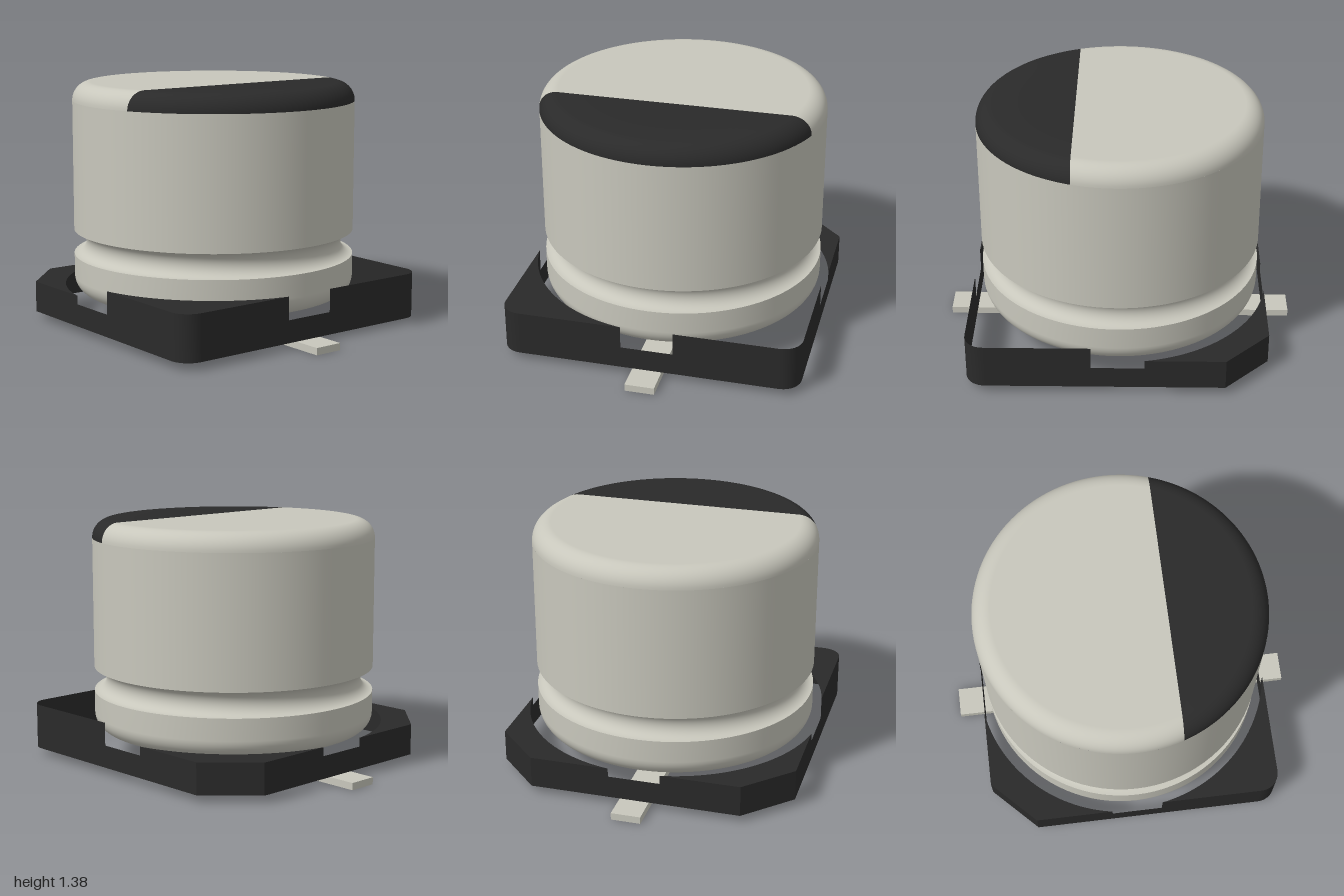
import * as THREE from 'three';

const H = 0.845;      // half width of the base
const N = 0.147;      // half width of the notches
const R = 0.805;      // can radius
const B = 0.105;      // can edge rounding
const TOP = 1.385;
const MARK_X = 0.245; // polarity mark begins here

const mat = (name, color, side = THREE.DoubleSide) => {
  const m = new THREE.MeshStandardMaterial({ color, side });
  m.name = name;
  return m;
};

// Surface from a grid of points: fn(i, j) returns [x, y, z]
function gridSurface(rows, cols, fn) {
  const pos = [], idx = [];
  for (let i = 0; i <= rows; i++) {
    for (let j = 0; j <= cols; j++) {
      pos.push(...fn(i, j));
      if (i < rows && j < cols) {
        const a = i * (cols + 1) + j, b = a + cols + 1;
        idx.push(a, a + 1, b, a + 1, b + 1, b);
      }
    }
  }
  const g = new THREE.BufferGeometry();
  g.setAttribute('position', new THREE.Float32BufferAttribute(pos, 3));
  g.setIndex(idx);
  g.computeVertexNormals();
  return g;
}

// Points of an arc as Vector2
function arc(cx, cy, r, a0, a1, n) {
  return Array.from({ length: n + 1 }, (_, i) => {
    const a = a0 + (a1 - a0) * i / n;
    return new THREE.Vector2(cx + r * Math.cos(a), cy + r * Math.sin(a));
  });
}

export function createModel() {
  const model = new THREE.Group();
  const metal = mat('metal', 0xc8c7bc);
  const black = mat('black', 0x2a2a2a);
  const add = (name, geometry, material, parent = model) => {
    const m = new THREE.Mesh(geometry, material);
    m.name = name;
    parent.add(m);
    return m;
  };
  const P = Math.PI;

  // Can: hollow shell, open below, with a crimped groove
  const can = new THREE.Group();
  can.name = 'can';
  model.add(can);
  const lathe = (name, pts) => add(name, new THREE.LatheGeometry(pts, 96), metal, can);
  lathe('canFoot', [...arc(R - B, 0.17 + B, B, -P / 2, 0, 10), new THREE.Vector2(R, 0.4)]);
  lathe('canGroove', arc(R, 0.47, 0.07, -P / 2, -1.5 * P, 20));
  lathe('canWall', [new THREE.Vector2(R, 0.54), new THREE.Vector2(R, TOP - B)]);

  // Can top: rings cut along the straight edge of the polarity mark
  const bevel = arc(R - B, TOP - B, B, P / 2, 0, 12);
  const markRings = [MARK_X, 0.3, 0.4, 0.55].map(r => new THREE.Vector2(r, TOP)).concat(bevel);
  const plainRings = [new THREE.Vector2(0, TOP), ...markRings];
  const cutAngle = r => (r > MARK_X ? Math.acos(MARK_X / r) : 0);
  const topPart = (rings, from, to, cols) => gridSurface(rings.length - 1, cols, (i, j) => {
    const { x: r, y } = rings[i];
    const a0 = from(cutAngle(r)), a1 = to(cutAngle(r));
    const a = a0 + (a1 - a0) * j / cols;
    return [r * Math.cos(a), y, -r * Math.sin(a)];
  }).scale(1, 1, 1);
  const flip = g => {
    const ix = g.index.array;
    for (let k = 0; k < ix.length; k += 3) [ix[k], ix[k + 1]] = [ix[k + 1], ix[k]];
    g.computeVertexNormals();
    return g;
  };
  add('canTop', flip(topPart(plainRings, c => c, c => 2 * P - c, 72)), metal, can);
  add('polarityMark', flip(topPart(markRings, c => -c, c => c, 48)), black, can);

  // Base: thin outer wall with notches, lower on the chamfered side
  const base = new THREE.Group();
  base.name = 'base';
  model.add(base);
  const LOW = 0.22, HIGH = 0.3, NOTCH = 0.17, BOTTOM = 0.043, C = 0.595, F = 0.11;
  const round = arc(H - F, H - F, F, 0, P / 2, 10);
  const wall = (name, pts, top) => add(name, gridSurface(1, pts.length - 1,
    (i, j) => [pts[j].x, i ? BOTTOM : top, pts[j].y]), black, base);
  const v = (x, z) => new THREE.Vector2(x, z);

  for (const s of [1, -1]) {
    const side = s > 0 ? 'Front' : 'Back';
    const mirror = pts => {
      const out = pts.map(p => v(p.x, p.y * s));
      return s > 0 ? out : out.reverse();
    };
    wall('straightWall' + side, mirror([v(H, N), v(H, H - F)]), HIGH);
    wall('roundedCorner' + side, mirror(round), HIGH);
    wall('highWall' + side, mirror([v(H - F, H), v(N, H)]), HIGH);
    wall('notchWall' + side, mirror([v(N, H), v(-N, H)]), NOTCH);
    wall('lowWall' + side, mirror([v(-N, H), v(-C, H)]), LOW);
    wall('chamferWall' + side, mirror([v(-C, H), v(-H, C)]), LOW);
    wall('lowEndWall' + side, mirror([v(-H, C), v(-H, N)]), LOW);
  }
  wall('notchWallLeft', [v(H, -N), v(H, N)], NOTCH);
  wall('notchWallRight', [v(-H, N), v(-H, -N)], NOTCH);

  // Corner plates around the can; the back left corner is open
  const t = Math.atan2(N, H);
  const inner = arc(0, 0, Math.hypot(H, N), P / 2 - t, t, 32);
  const plate = (name, corner, sx, sz, y) => {
    const pts = [...corner, ...inner].map(p => v(p.x * sx, -p.y * sz));
    const g = new THREE.ShapeGeometry(new THREE.Shape(pts));
    g.rotateX(-P / 2).translate(0, y, 0);
    add(name, g, black, base);
  };
  const chamfer = [v(H, C), v(C, H)];
  plate('cornerPlateFrontLeft', round, 1, 1, HIGH);
  plate('cornerPlateFrontRight', chamfer, -1, 1, LOW);
  plate('cornerPlateBackRight', chamfer, -1, -1, LOW);

  // Leads: flat strips with rounded inner ends
  const W = 0.083, q = 0.075, X0 = 0.23;
  const strip = new THREE.Shape([
    v(1, -W), v(1, W),
    ...arc(X0 + q, W - q, q, P / 2, P, 10),
    ...arc(X0 + q, q - W, q, P, 1.5 * P, 10),
  ]);
  for (const s of [1, -1]) {
    const g = new THREE.ExtrudeGeometry(strip, { depth: 0.04, bevelEnabled: false });
    g.rotateX(-P / 2);
    if (s < 0) g.rotateY(P);
    add(s > 0 ? 'leadLeft' : 'leadRight', g, metal);
  }
  return model;
}
